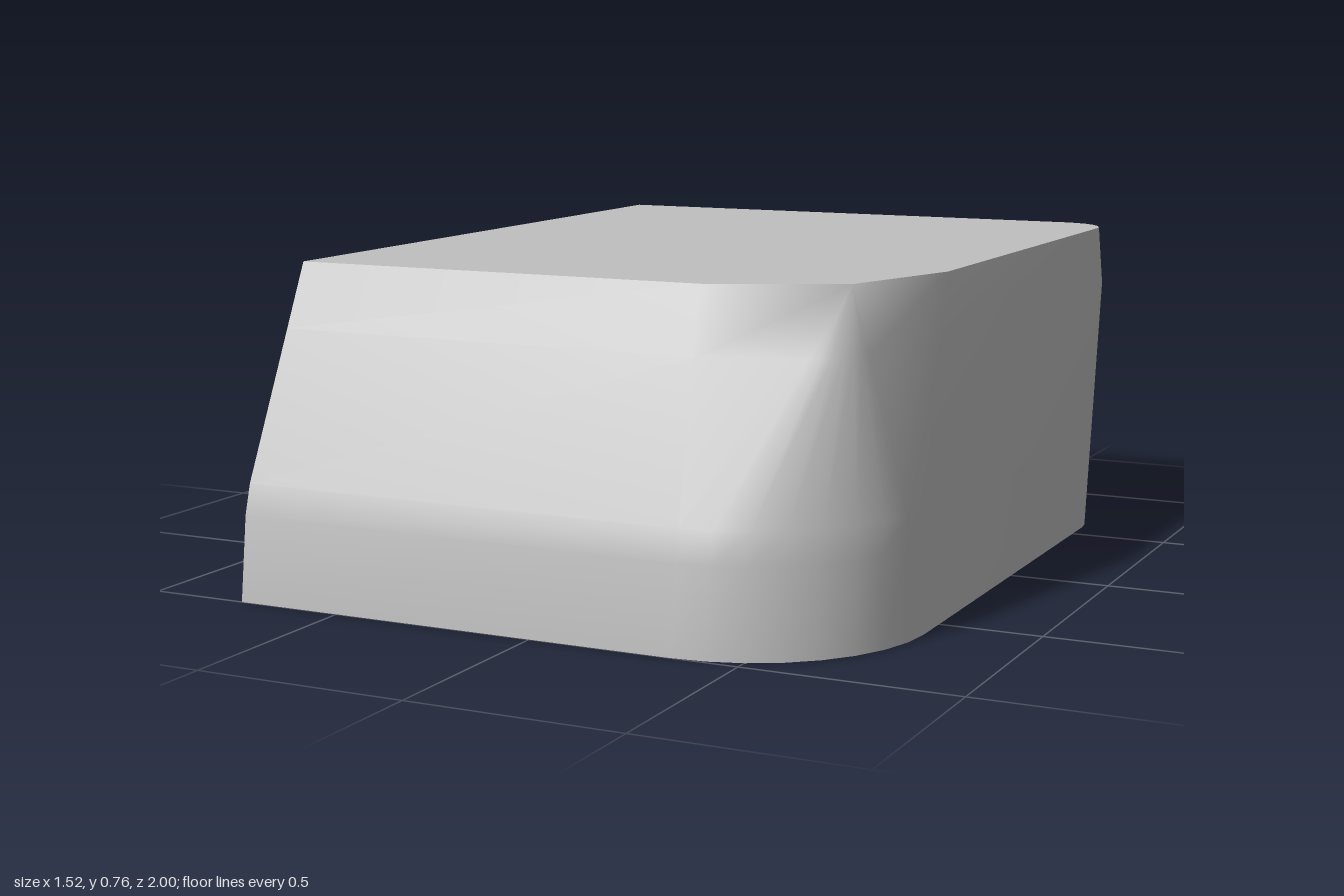
import * as THREE from 'three';
import { toCreasedNormals } from 'three/addons/utils/BufferGeometryUtils.js';

const LEFT = -0.76, TOP = 0.76, CURVE_TOP = 0.27, STEPS = 8;
const lerp = THREE.MathUtils.lerp;
const sideX = (y) => 0.76 - 0.065 * (y / TOP);

// Round front corner of the lower part
function roundCorner(y, frontZ) {
  const points = [];
  for (let i = 0; i <= STEPS; i++) {
    const a = (i / STEPS) * Math.PI / 2;
    points.push([lerp(0.34, sideX(y), Math.sin(a)), frontZ - 0.41 * (1 - Math.cos(a))]);
  }
  return points;
}

// Front corner at any height: round below, fanning into two chamfers at the top
function frontCorner(y) {
  if (y <= CURVE_TOP) {
    const z = y <= 0.2 ? lerp(1, 0.975, y / 0.2) : lerp(0.975, 0.955, (y - 0.2) / 0.07);
    return roundCorner(y, z);
  }
  const t = (y - CURVE_TOP) / (TOP - CURVE_TOP);
  return roundCorner(CURVE_TOP, 0.955).map(([x, z], i) => {
    const end = i === 0 ? [0.28, 0.72] : i === STEPS ? [0.685, 0.27] : [0.58, 0.585];
    return [lerp(x, end[0], t), lerp(z, end[1], t)];
  });
}

// One horizontal outline, counter-clockwise from above
function section(y) {
  const front = frontCorner(y);
  const backZ = -0.715 - 0.285 * Math.min(1, y / 0.61);
  const r = 0.13, right = sideX(y), back = [];
  for (let i = 0; i <= 6; i++) {
    const a = (i / 6) * Math.PI / 2;
    back.push([right - r + r * Math.cos(a), backZ + r - r * Math.sin(a)]);
  }
  return [[LEFT, front[0][1]], ...front, ...back, [LEFT, backZ]]
    .map(([x, z]) => new THREE.Vector3(x, y, z));
}

function blockGeometry() {
  const rows = [0, 0.2, CURVE_TOP, 0.61, TOP].map(section);
  const n = rows[0].length, positions = [];
  const triangle = (a, b, c) => {
    if (new THREE.Triangle(a, b, c).getArea() < 1e-7) return;
    for (const p of [a, b, c]) positions.push(p.x, p.y, p.z);
  };
  // Walls
  for (let k = 0; k < rows.length - 1; k++) {
    const low = rows[k], high = rows[k + 1];
    for (let i = 0; i < n; i++) {
      const j = (i + 1) % n;
      triangle(low[i], low[j], high[j]);
      triangle(low[i], high[j], high[i]);
    }
  }
  // Top and bottom faces
  const top = rows[rows.length - 1], bottom = rows[0];
  for (let i = 1; i < n - 1; i++) {
    triangle(top[0], top[i], top[i + 1]);
    triangle(bottom[0], bottom[i + 1], bottom[i]);
  }
  const geometry = new THREE.BufferGeometry();
  geometry.setAttribute('position', new THREE.Float32BufferAttribute(positions, 3));
  return toCreasedNormals(geometry, THREE.MathUtils.degToRad(52));
}

export function createModel() {
  const group = new THREE.Group();
  const grey = new THREE.MeshStandardMaterial({ color: 0xc0c0c0 });
  grey.name = 'light grey';
  const block = new THREE.Mesh(blockGeometry(), grey);
  block.name = 'slantedBlock';
  group.add(block);
  return group;
}
